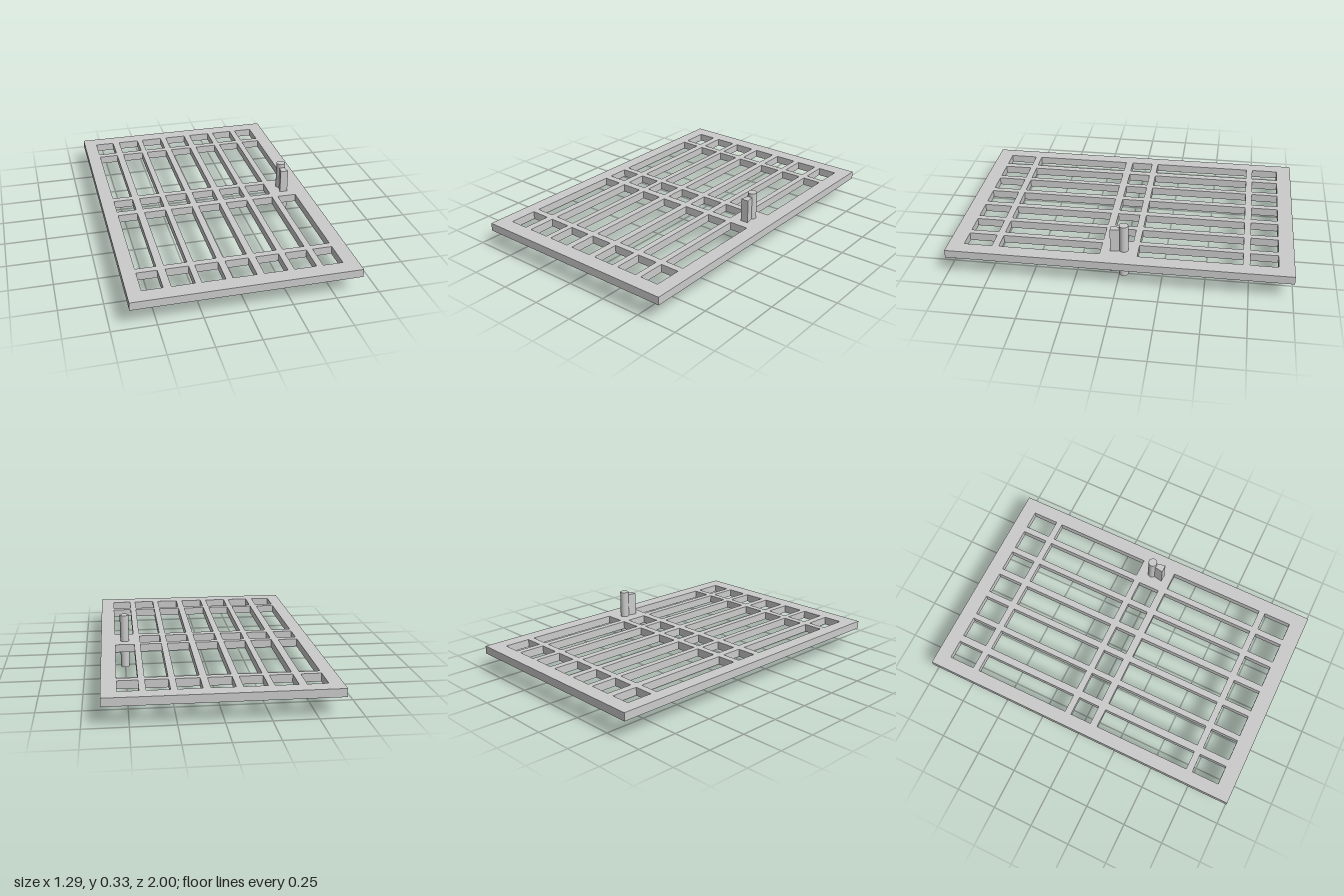
import * as THREE from 'three';

const TOP = 0.165, THICK = 0.048;

// Extrudes a shape drawn in (x, z) downwards from the given height
function slab(shape, top, depth, name, material) {
  const geometry = new THREE.ExtrudeGeometry(shape, { depth, bevelEnabled: false });
  geometry.rotateX(Math.PI / 2);
  geometry.translate(0, top, 0);
  const mesh = new THREE.Mesh(geometry, material);
  mesh.name = name;
  return mesh;
}

function polygon(points, Type = THREE.Shape) {
  return new Type(points.map(([x, z]) => new THREE.Vector2(x, z)));
}

const rectangle = (x0, x1, z0, z1) => [[x0, z0], [x1, z0], [x1, z1], [x0, z1]];

export function createModel() {
  const group = new THREE.Group();
  group.name = 'barredDoor';
  const material = new THREE.MeshStandardMaterial({ color: 0xcccccc });

  // Door panel: frame and bars left between a grid of openings
  const columns = [
    [-0.565, -0.448], [-0.404, -0.274], [-0.239, -0.107], [-0.068, 0.067],
    [0.108, 0.242], [0.279, 0.407], [0.444, 0.559],
  ];
  const rows = [[-0.91, -0.75], [-0.71, -0.11], [-0.07, 0.062], [0.108, 0.7], [0.74, 0.907]];
  const panel = polygon(rectangle(-0.645, 0.645, -1, 1));
  columns.forEach(([x0, x1], c) => rows.forEach(([z0, z1], r) => {
    const isLockPlate = c === columns.length - 1 && r === 2;
    if (!isLockPlate) panel.holes.push(polygon(rectangle(x0, x1, z0, z1).reverse(), THREE.Path));
  }));
  group.add(slab(panel, TOP, THICK, 'barredPanel', material));

  // Keyhole: round pin and flared wedge, passing through the lock plate
  const pin = new THREE.Mesh(new THREE.CylinderGeometry(0.027, 0.027, 0.33, 32), material);
  pin.name = 'keyholePin';
  pin.position.set(0.5, 0.165, -0.025);
  group.add(pin);

  const wedge = polygon([[0.487, -0.008], [0.513, -0.008], [0.524, 0.052], [0.476, 0.052]]);
  group.add(slab(wedge, 0.307, 0.281, 'keyholeWedge', material));

  return group;
}
